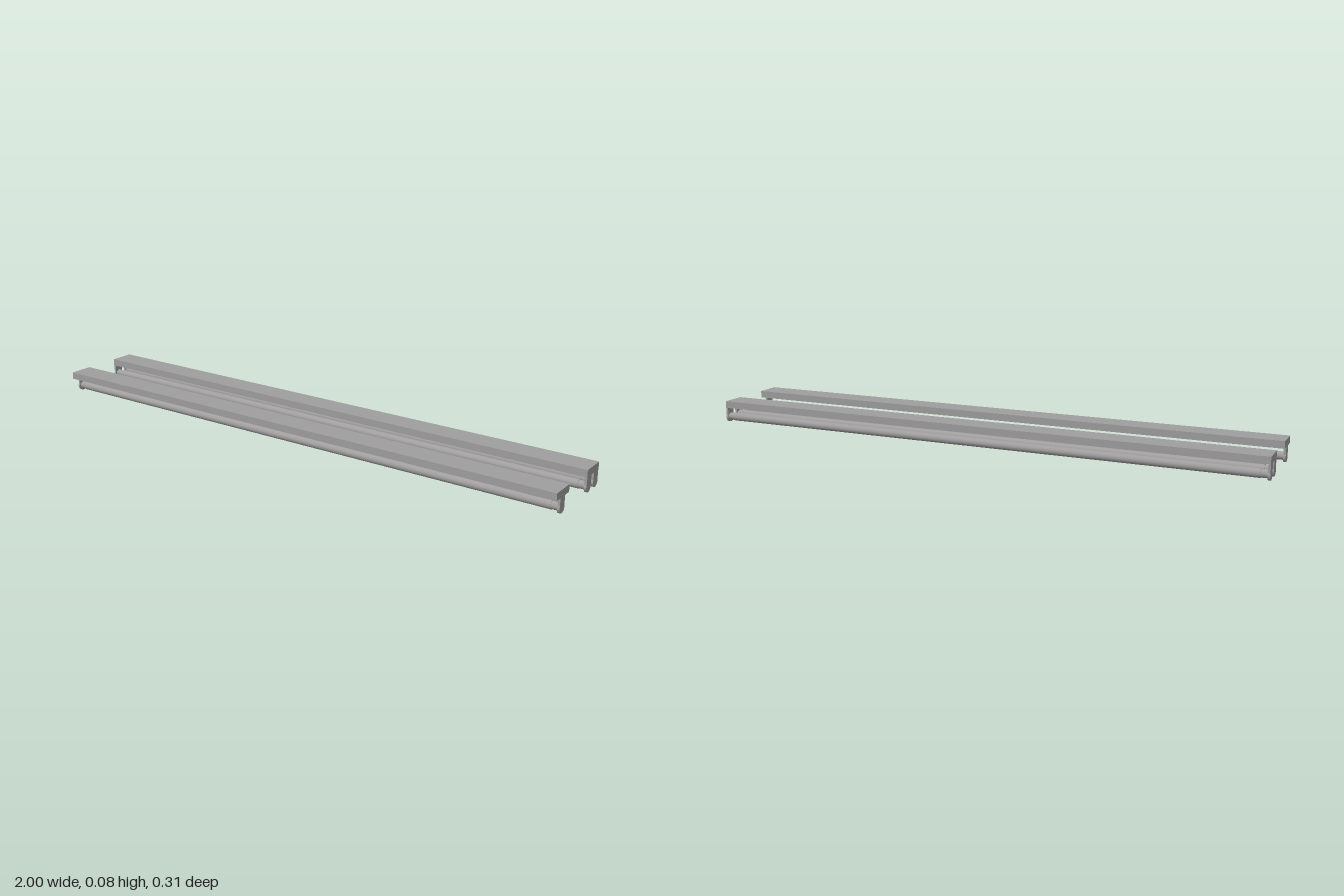
import * as THREE from 'three';

const grey = new THREE.MeshStandardMaterial({ color: 0xa09e9e });
grey.name = 'grey metal';

function add(parent, name, geometry, x, y, z) {
  const mesh = new THREE.Mesh(geometry, grey);
  mesh.name = name;
  mesh.position.set(x, y, z);
  parent.add(mesh);
  return mesh;
}

const R = 0.018, NECK = 0.016, TOP = 0.054, HOLDER = 0.008;

// Keyhole outline: straight neck running into a round foot
function holderGeometry() {
  const s = new THREE.Shape();
  const a = Math.acos(NECK / R);
  s.moveTo(-NECK, TOP);
  s.lineTo(-NECK, R + R * Math.sin(a));
  s.absarc(0, R, R, Math.PI - a, 2 * Math.PI + a, false);
  s.lineTo(NECK, TOP);
  s.closePath();
  const g = new THREE.ExtrudeGeometry(s, { depth: HOLDER, bevelEnabled: false, curveSegments: 24 });
  return g.translate(0, 0, -HOLDER / 2).rotateY(Math.PI / 2);
}

const holder = holderGeometry();
const tube = new THREE.CylinderGeometry(0.015, 0.015, 1.94, 24).rotateZ(Math.PI / 2);
const cap = new THREE.CylinderGeometry(0.0135, 0.0135, 0.024, 24).rotateZ(Math.PI / 2);

// One lamp tube with a holder and an end cap at each end
function lamp(z) {
  const g = new THREE.Group();
  g.name = 'lamp';
  add(g, 'tube', tube, 0, 0.02, z);
  for (const side of [-1, 1]) {
    add(g, 'endHolder', holder, side * (1 - HOLDER / 2), 0, z);
    add(g, 'endCap', cap, side * 0.981, 0.02, z);
  }
  return g;
}

// Ceiling batten carrying one or more lamps
function fixture(name, z, lamps) {
  const g = new THREE.Group();
  g.name = name;
  add(g, 'batten', new THREE.BoxGeometry(2, 0.025, 0.087), 0, 0.0655, z);
  for (const lz of lamps) g.add(lamp(lz));
  return g;
}

export function createModel() {
  const model = new THREE.Group();
  model.name = 'tubeLights';
  model.add(fixture('singleFixture', 0.111, [0.111]));
  model.add(fixture('doubleFixture', -0.109, [-0.083, -0.135]));
  return model;
}
